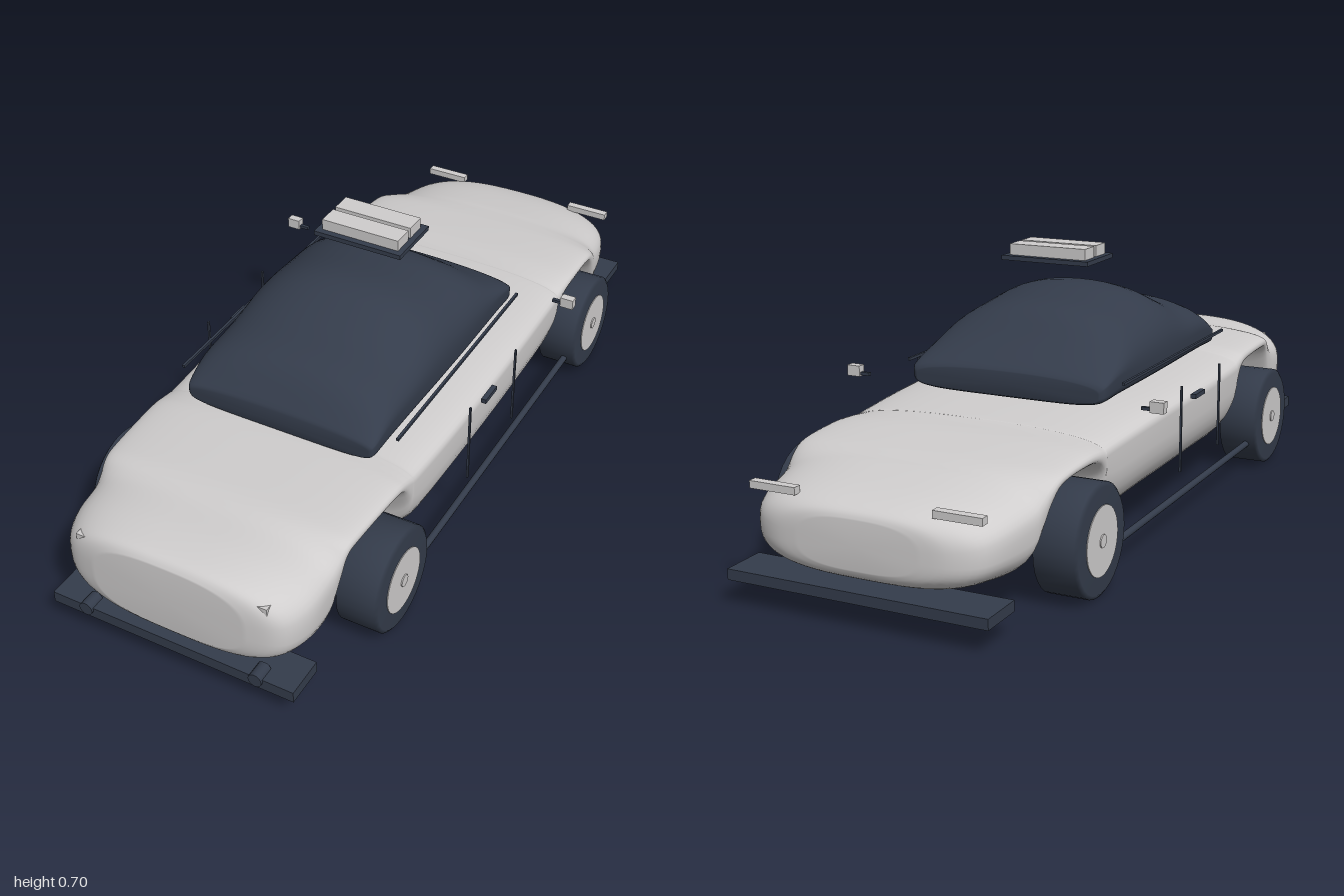
import * as THREE from 'three';

const paint = new THREE.MeshStandardMaterial({ color: 0xcfcdcd });
paint.name = 'pale grey';
const dark = new THREE.MeshStandardMaterial({ color: 0x343c4b });
dark.name = 'dark slate';

// Catmull-Rom resampling of station rows
function resample(rows, steps) {
  const out = [];
  for (let i = 0; i < rows.length - 1; i++) {
    const p = [rows[Math.max(i - 1, 0)], rows[i], rows[i + 1], rows[Math.min(i + 2, rows.length - 1)]];
    for (let s = 0; s < steps; s++) {
      const t = s / steps;
      out.push(rows[i].map((_, k) => {
        const [a, b, c, d] = p.map((r) => r[k]);
        return b + 0.5 * t * (c - a + t * (2 * a - 5 * b + 4 * c - d + t * (3 * (b - c) + d - a)));
      }));
    }
  }
  out.push(rows[rows.length - 1]);
  return out;
}

// Loft of rounded sections; each row is [z, half width, bottom, top, waist height]
function loft(rows, lowPower, highPower, sides = 56) {
  const pos = [], index = [];
  const stations = resample(rows, 4);
  const power = (v, n) => Math.sign(v) * Math.abs(v) ** (2 / n);
  for (const [z, w, bottom, top, waist] of stations) {
    for (let j = 0; j < sides; j++) {
      const a = (j / sides) * Math.PI * 2, c = Math.cos(a), s = Math.sin(a);
      const n = s < 0 ? lowPower : highPower;
      pos.push(w * power(c, n), waist + power(s, n) * (s < 0 ? waist - bottom : top - waist), z);
    }
  }
  const last = stations.length - 1;
  for (let i = 0; i < last; i++) {
    for (let j = 0; j < sides; j++) {
      const k = (j + 1) % sides;
      const a = i * sides + j, b = i * sides + k, c = a + sides, d = b + sides;
      index.push(a, c, b, b, c, d);
    }
  }
  // end caps
  const front = pos.length / 3;
  for (const r of [stations[0], stations[last]]) pos.push(0, (r[2] + r[3]) / 2, r[0] + Math.sign(r[0]) * 0.004);
  for (let j = 0; j < sides; j++) {
    const k = (j + 1) % sides;
    index.push(front, j, k, front + 1, last * sides + k, last * sides + j);
  }
  const g = new THREE.BufferGeometry();
  g.setAttribute('position', new THREE.Float32BufferAttribute(pos, 3));
  g.setIndex(index);
  g.computeVertexNormals();
  return g;
}

export function createModel() {
  const model = new THREE.Group();
  model.name = 'car';
  const add = (name, geometry, material, x = 0, y = 0, z = 0, parent = model) => {
    const m = new THREE.Mesh(geometry, material);
    m.name = name;
    m.position.set(x, y, z);
    parent.add(m);
    return m;
  };
  const box = (name, material, sx, sy, sz, x, y, z) =>
    add(name, new THREE.BoxGeometry(sx, sy, sz), material, x, y, z);

  // Body shell, its underside rising over both axles
  add('body', loft([
    [0.984, 0.20, 0.125, 0.315, 0.22],
    [0.97, 0.265, 0.107, 0.332, 0.22],
    [0.94, 0.303, 0.097, 0.341, 0.22],
    [0.88, 0.326, 0.087, 0.348, 0.23],
    [0.805, 0.33, 0.078, 0.35, 0.25],
    [0.77, 0.333, 0.18, 0.353, 0.28],
    [0.74, 0.336, 0.275, 0.356, 0.315],
    [0.69, 0.34, 0.295, 0.358, 0.325],
    [0.53, 0.348, 0.295, 0.358, 0.325],
    [0.48, 0.35, 0.265, 0.357, 0.315],
    [0.45, 0.352, 0.17, 0.356, 0.305],
    [0.415, 0.354, 0.078, 0.355, 0.3],
    [0.2, 0.361, 0.075, 0.354, 0.3],
    [-0.15, 0.361, 0.075, 0.354, 0.3],
    [-0.415, 0.351, 0.078, 0.341, 0.29],
    [-0.445, 0.35, 0.2, 0.338, 0.285],
    [-0.48, 0.35, 0.258, 0.336, 0.295],
    [-0.55, 0.35, 0.273, 0.334, 0.302],
    [-0.67, 0.347, 0.268, 0.324, 0.295],
    [-0.72, 0.343, 0.21, 0.318, 0.27],
    [-0.75, 0.338, 0.13, 0.314, 0.24],
    [-0.785, 0.332, 0.078, 0.31, 0.215],
    [-0.88, 0.312, 0.086, 0.294, 0.2],
    [-0.94, 0.28, 0.096, 0.278, 0.19],
    [-0.972, 0.22, 0.112, 0.262, 0.185],
    [-0.982, 0.15, 0.13, 0.245, 0.185],
  ], 3, 2.7), paint);

  // Domed cabin
  add('cabin', loft([
    [0.487, 0.25, 0.362, 0.412, 0.39],
    [0.475, 0.263, 0.354, 0.432, 0.4],
    [0.40, 0.268, 0.352, 0.503, 0.42],
    [0.275, 0.27, 0.352, 0.535, 0.42],
    [0.145, 0.273, 0.352, 0.585, 0.42],
    [0, 0.275, 0.352, 0.572, 0.42],
    [-0.11, 0.275, 0.352, 0.55, 0.42],
    [-0.2, 0.275, 0.352, 0.487, 0.42],
    [-0.275, 0.272, 0.353, 0.437, 0.405],
    [-0.292, 0.255, 0.36, 0.42, 0.39],
  ], 5, 2.2), dark);

  // Wheels: a bevelled tyre with a pale hub and centre cap
  const tyreProfile = [[0, -0.057], [0.115, -0.057], [0.136, -0.05], [0.136, 0.05], [0.126, 0.057], [0, 0.057]]
    .map(([r, h]) => new THREE.Vector2(r, h));
  const tyreGeo = new THREE.LatheGeometry(tyreProfile, 32);
  const hubGeo = new THREE.CylinderGeometry(0.084, 0.084, 0.118, 32);
  const capGeo = new THREE.CylinderGeometry(0.016, 0.016, 0.124, 16);
  for (const side of [-1, 1]) {
    for (const [name, z] of [['frontWheel', 0.597], ['rearWheel', -0.592]]) {
      const wheel = new THREE.Group();
      wheel.name = name;
      wheel.position.set(side * 0.347, 0.137, z);
      wheel.rotation.z = -side * Math.PI / 2;
      add('tyre', tyreGeo, dark, 0, 0, 0, wheel);
      add('hub', hubGeo, paint, 0, 0, 0, wheel);
      add('hubCap', capGeo, paint, 0, 0, 0, wheel);
      model.add(wheel);
    }

    // Sill tube, window rail, door seams and handle
    const sill = add('sillTube', new THREE.CylinderGeometry(0.009, 0.009, 0.98, 12), dark, side * 0.372, 0.08, 0);
    sill.rotation.x = Math.PI / 2;
    box('windowRail', dark, 0.007, 0.007, 0.69, side * 0.303, 0.413, 0.095);
    for (const z of [0.205, -0.067]) box('doorSeam', dark, 0.005, 0.225, 0.006, side * 0.384, 0.2625, z);
    box('doorHandle', dark, 0.014, 0.012, 0.066, side * 0.375, 0.322, 0.072);

    // Mirror on its arm
    box('mirrorArm', dark, 0.03, 0.008, 0.01, side * 0.396, 0.379, -0.317);
    box('mirror', paint, 0.036, 0.028, 0.022, side * 0.424, 0.386, -0.317);

    // Lamps
    box('headlamp', paint, 0.056, 0.022, 0.026, side * 0.229, 0.287, 0.953);
    box('tailLamp', paint, 0.121, 0.018, 0.022, side * 0.235, 0.277, -0.942);
    const fog = add('fogLamp', new THREE.CylinderGeometry(0.018, 0.018, 0.045, 16), dark, side * 0.234, 0.09, 0.974);
    fog.rotation.x = Math.PI / 2;
  }

  // Bumpers
  box('frontBumper', dark, 0.664, 0.03, 0.105, 0, 0.08, 0.938);
  box('rearBumper', dark, 0.664, 0.026, 0.118, 0, 0.074, -0.941);

  // Roof light bar
  box('lightBarBase', dark, 0.246, 0.012, 0.158, 0, 0.666, 0.007);
  for (const z of [-0.027, 0.041]) box('lightBarLamp', paint, 0.216, 0.03, 0.056, 0, 0.686, z);

  return model;
}
